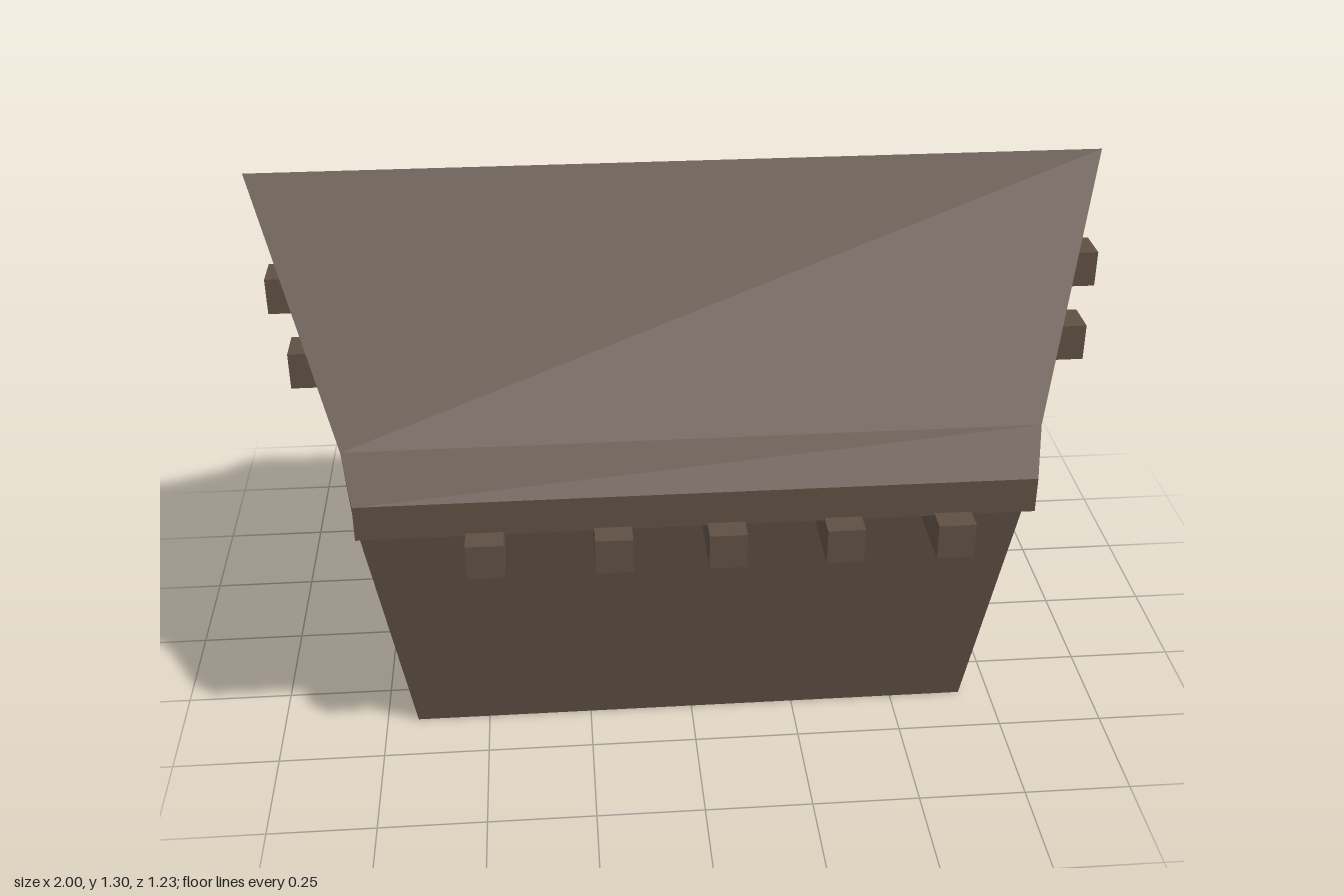
import * as THREE from 'three';

const wood = new THREE.MeshStandardMaterial({ color: 0x5f5045, flatShading: true });

// Half section from the floor up to the ridge: half length x, height y, depth z
const HALF = [
  [0.675, 0, 0.37],    // floor
  [0.77, 0.645, 0.457], // wall top
  [0.757, 0.655, 0.558], // eave bottom
  [0.757, 0.74, 0.558], // eave top
  [0.783, 0.82, 0.457], // gable foot
  [1, 1.3, 0],         // ridge
];

// Flared house shell: the section mirrored in z, joined from end to end, then capped
function houseGeometry() {
  const ring = [...HALF, ...HALF.slice(0, -1).reverse().map(([x, y, z]) => [x, y, -z])];
  const n = ring.length;
  const positions = [];
  const at = (i, side) => [ring[i][0] * side, ring[i][1], ring[i][2]];
  const polygon = (pts) => {
    for (let k = 1; k < pts.length - 1; k++) positions.push(...pts[0], ...pts[k], ...pts[k + 1]);
  };
  // Walls, eaves, roof slopes and floor
  for (let i = 0; i < n; i++) {
    const j = (i + 1) % n;
    polygon([at(i, -1), at(i, 1), at(j, 1), at(j, -1)]);
  }
  // End wall, band, gable and the two eave ends
  const caps = [[0, 1, 9, 10], [1, 4, 6, 9], [4, 5, 6], [1, 2, 3, 4], [6, 7, 8, 9]];
  for (const cap of caps) {
    polygon(cap.map((i) => at(i, -1)));
    polygon([...cap].reverse().map((i) => at(i, 1)));
  }
  const geometry = new THREE.BufferGeometry();
  geometry.setAttribute('position', new THREE.Float32BufferAttribute(positions, 3));
  geometry.computeVertexNormals();
  return geometry;
}

function addBeam(parent, name, size, position) {
  const mesh = new THREE.Mesh(new THREE.BoxGeometry(...size), wood);
  mesh.name = name;
  mesh.position.set(...position);
  parent.add(mesh);
}

export function createModel() {
  const model = new THREE.Group();
  model.name = 'house';

  const shell = new THREE.Mesh(houseGeometry(), wood);
  shell.name = 'wallsAndRoof';
  model.add(shell);

  // Joist ends under the front and back eaves
  const joists = new THREE.Group();
  joists.name = 'eaveJoists';
  model.add(joists);
  for (const side of [1, -1]) {
    for (const x of [-0.475, -0.192, 0.06, 0.322, 0.57]) {
      addBeam(joists, 'eaveJoist', [0.084, 0.084, 0.19], [x, 0.619, side * 0.518]);
    }
  }

  // Purlin ends poking out of both gables: height, depth, outer end
  const purlins = new THREE.Group();
  purlins.name = 'gablePurlins';
  model.add(purlins);
  const spots = [[0.94, 0.25, 0.907], [1.059, 0.108, 0.962], [1.061, -0.109, 0.962], [0.94, -0.227, 0.907]];
  for (const side of [1, -1]) {
    for (const [y, z, end] of spots) {
      const outer = end + side * 0.008;
      addBeam(purlins, 'gablePurlin', [0.14, 0.086, 0.086], [side * (outer - 0.07), y, z]);
    }
  }

  return model;
}
